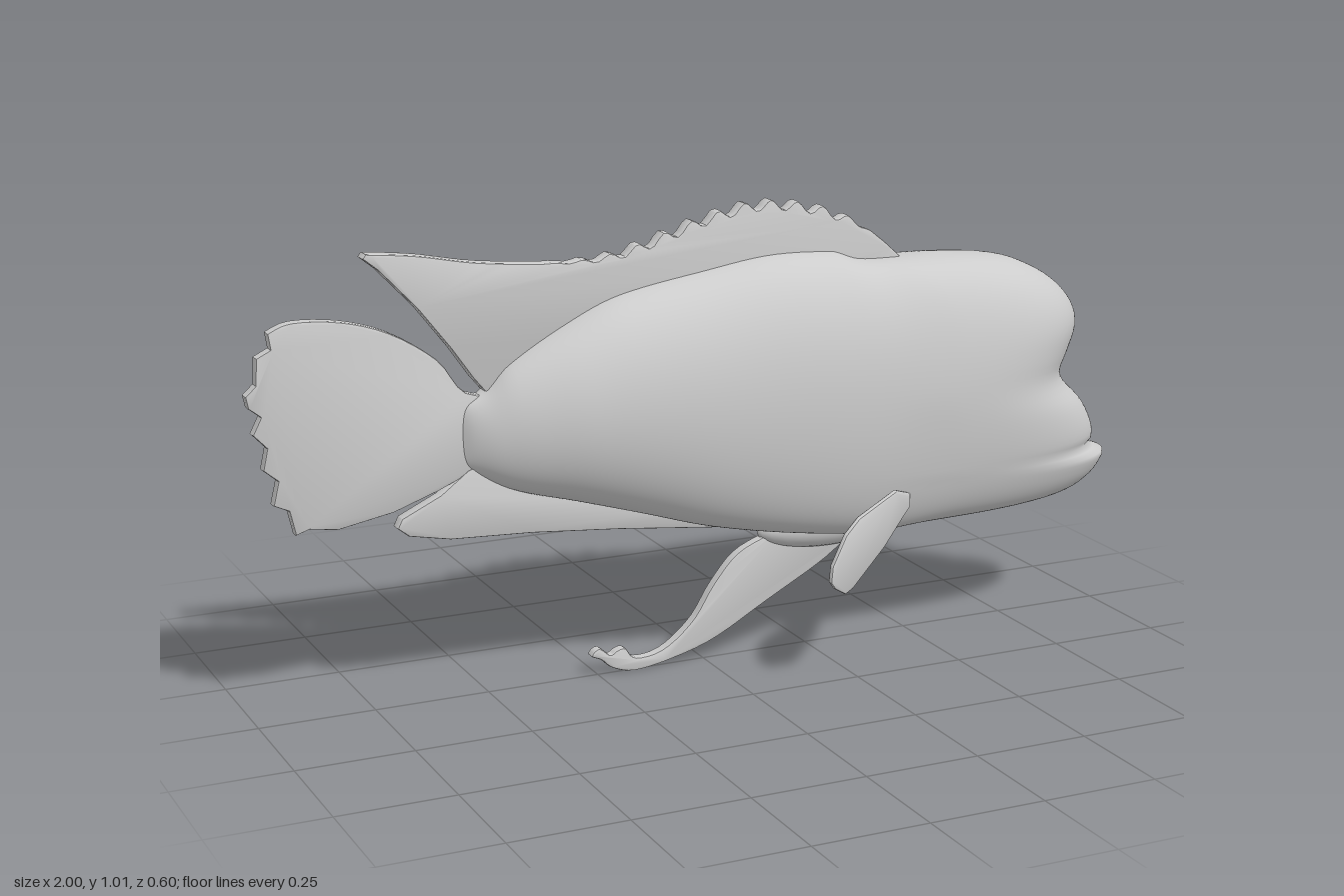
import * as THREE from 'three';
import { mergeVertices, toCreasedNormals } from 'three/addons/utils/BufferGeometryUtils.js';

const skin = new THREE.MeshStandardMaterial({ color: 0xcccccc });
skin.name = 'plain grey';

// Smooth interpolation through rows of [key, value]
function sample(table, k) {
  const n = table.length - 1;
  if (k <= table[0][0]) return table[0][1];
  if (k >= table[n][0]) return table[n][1];
  let i = 0;
  while (k > table[i + 1][0]) i++;
  const slope = (j) => {
    const a = table[Math.max(j - 1, 0)], b = table[Math.min(j + 1, n)];
    return (b[1] - a[1]) / (b[0] - a[0]);
  };
  const [x0, y0] = table[i], [x1, y1] = table[i + 1];
  const h = x1 - x0, t = (k - x0) / h, u = 1 - t;
  return y0 * (1 + 2 * t) * u * u + slope(i) * h * t * u * u
    + y1 * t * t * (3 - 2 * t) - slope(i + 1) * h * t * t * u;
}

// Body profiles along its length, and the face profile by height
const back = [[-0.56, 0.63], [-0.5, 0.66], [-0.45, 0.71], [-0.3, 0.795], [-0.2, 0.835], [0, 0.87],
  [0.15, 0.89], [0.3, 0.885], [0.45, 0.865], [0.6, 0.86], [1, 0.86]];
const belly = [[-0.56, 0.51], [-0.45, 0.445], [-0.3, 0.4], [-0.15, 0.355], [0, 0.31], [0.2, 0.272],
  [0.4, 0.252], [0.6, 0.262], [1, 0.265]];
const halfWidth = [[-0.56, 0], [-0.53, 0.035], [-0.48, 0.07], [-0.4, 0.105], [-0.3, 0.133], [-0.1, 0.15],
  [0.2, 0.16], [0.4, 0.162], [0.6, 0.172], [1, 0.168]];
const face = [[0.265, 0.74], [0.275, 0.84], [0.29, 0.92], [0.32, 0.972], [0.35, 0.996], [0.375, 1],
  [0.393, 0.955], [0.412, 0.968], [0.45, 0.96], [0.5, 0.93], [0.55, 0.88], [0.58, 0.87], [0.62, 0.888],
  [0.68, 0.91], [0.73, 0.897], [0.78, 0.85], [0.82, 0.78], [0.845, 0.7], [0.86, 0.56]];

function bodyGeometry() {
  const rings = 90, sides = 128, pos = [], index = [];
  for (let i = 0; i <= rings; i++) {
    const s = -0.56 + 1.56 * (1 - Math.cos(Math.PI * i / rings)) / 2;
    const top = sample(back, s), low = sample(belly, s);
    const mid = (top + low) / 2, h = (top - low) / 2;
    // the snout rounds off sideways
    const nose = Math.sqrt(Math.max(0, 1 - Math.pow(Math.max(0, (s - 0.6) / 0.4), 3)));
    const w = sample(halfWidth, s) * nose;
    const head = THREE.MathUtils.smoothstep(s, 0.25, 0.6);
    const upper = 0.95 - 0.2 * head;
    const lower = 0.9 - 0.4 * THREE.MathUtils.smoothstep(s, -0.4, 0.4);
    for (let j = 0; j < sides; j++) {
      const a = 2 * Math.PI * j / sides, c = Math.cos(a), sn = Math.sin(a);
      const y = mid + h * sn;
      const e = THREE.MathUtils.lerp(lower, upper, (sn + 1) / 2);
      const z = Math.abs(c) < 1e-6 ? 0 : w * Math.sign(c) * Math.pow(Math.abs(c), e);
      const x = s < 0.3 ? s : 0.3 + (s - 0.3) * (sample(face, y) - 0.3) / 0.7;
      pos.push(x, y, z);
      if (i < rings) {
        const p = i * sides + j, q = i * sides + (j + 1) % sides;
        index.push(p, p + sides, q, q, p + sides, q + sides);
      }
    }
  }
  let geo = new THREE.BufferGeometry();
  geo.setAttribute('position', new THREE.Float32BufferAttribute(pos, 3));
  geo.setIndex(index);
  geo = mergeVertices(geo, 1e-5);
  geo.computeVertexNormals();
  return geo;
}

// Thin fin from an outline, optionally swept sideways by a rule
function fin(name, points, thick, sweep) {
  const bevel = 0.005;
  const shape = new THREE.Shape(points.map(([x, y]) => new THREE.Vector2(x, y)));
  let geo = new THREE.ExtrudeGeometry(shape, {
    depth: thick - 2 * bevel, bevelEnabled: true, bevelThickness: bevel,
    bevelSize: bevel, bevelOffset: -bevel, bevelSegments: 2,
  });
  geo.translate(0, 0, bevel - thick / 2);
  if (sweep) {
    const p = geo.attributes.position;
    for (let i = 0; i < p.count; i++) p.setZ(i, p.getZ(i) + sweep(p.getX(i)));
  }
  geo.deleteAttribute('uv');
  geo = toCreasedNormals(geo, 0.7);
  const mesh = new THREE.Mesh(geo, skin);
  mesh.name = name;
  return mesh;
}

// Smooth open run of points
const smooth = (pts, n) => new THREE.SplineCurve(pts.map(([x, y]) => new THREE.Vector2(x, y)))
  .getPoints(n).map((p) => [p.x, p.y]);

export function createModel() {
  const fish = new THREE.Group();
  fish.name = 'fish';

  const body = new THREE.Mesh(bodyGeometry(), skin);
  body.name = 'body';
  fish.add(body);

  // Dorsal fin with a scalloped front crest
  const crest = smooth([[0.47, 0.855], [0.42, 0.9], [0.36, 0.94], [0.27, 0.975], [0.18, 0.993], [0.1, 0.995],
    [0, 0.975], [-0.1, 0.945], [-0.2, 0.918], [-0.32, 0.912], [-0.5, 0.927], [-0.64, 0.953], [-0.745, 0.965]], 110)
    .map(([x, y]) => {
      const fade = THREE.MathUtils.smoothstep(x, -0.4, -0.1) * (1 - THREE.MathUtils.smoothstep(x, 0.3, 0.42));
      return [x, y + 0.011 * fade * Math.cos(2 * Math.PI * (x - 0.09) / 0.062)];
    });
  fish.add(fin('dorsalFin', [...crest, [-0.752, 0.956], [-0.72, 0.93], [-0.64, 0.845], [-0.57, 0.755],
    [-0.525, 0.69], [-0.5, 0.66], [-0.45, 0.62], [-0.2, 0.75], [0.1, 0.8], [0.42, 0.8]], 0.036));

  // Tail fin with a ragged rear edge
  fish.add(fin('tailFin', [...smooth([[-0.45, 0.65], [-0.54, 0.66], [-0.6, 0.735], [-0.7, 0.8], [-0.8, 0.832],
    [-0.9, 0.84], [-0.95, 0.823]], 24), [-0.945, 0.79], [-0.975, 0.775], [-0.978, 0.72], [-1, 0.7], [-0.995, 0.675],
    [-0.97, 0.655], [-0.988, 0.62], [-0.96, 0.59], [-0.97, 0.545], [-0.94, 0.52], [-0.952, 0.47], [-0.92, 0.455],
    [-0.908, 0.402], [-0.88, 0.412], [-0.82, 0.403], [-0.7, 0.425], [-0.6, 0.46], [-0.52, 0.495], [-0.45, 0.53]], 0.028));

  // Anal fin below the rear body
  fish.add(fin('analFin', [[-0.695, 0.39], [-0.67, 0.37], [-0.58, 0.352], [-0.4, 0.343], [-0.2, 0.325], [0, 0.302],
    [0.12, 0.29], [0.05, 0.36], [-0.25, 0.46], [-0.48, 0.52], [-0.54, 0.495], [-0.6, 0.45], [-0.685, 0.41]], 0.032));

  // Trailing pelvic fin with a curled tip
  const pelvic = smooth([[0.2, 0.31], [0.17, 0.275], [0.08, 0.235], [0.02, 0.17], [-0.03, 0.095], [-0.1, 0.04],
    [-0.165, 0.03], [-0.19, 0.055], [-0.21, 0.052], [-0.225, 0.045], [-0.25, 0.063], [-0.268, 0.048],
    [-0.245, 0.036], [-0.22, 0.015], [-0.17, 0.001], [-0.09, 0.012], [0.02, 0.045], [0.15, 0.115], [0.28, 0.185],
    [0.36, 0.24], [0.4, 0.25], [0.412, 0.215], [0.43, 0.25], [0.44, 0.29]], 100);
  fish.add(fin('pelvicFin', pelvic, 0.026));

  // Keel where the pelvic fin joins the belly
  const keel = new THREE.Mesh(new THREE.SphereGeometry(1, 24, 16), skin);
  keel.name = 'bellyKeel';
  keel.scale.set(0.17, 0.05, 0.05);
  keel.position.set(0.3, 0.272, 0);
  fish.add(keel);

  // Paired pectoral fins, swept back and outward
  const paddle = [[0.43, 0.36], [0.43, 0.33], [0.405, 0.313], [0.34, 0.265], [0.23, 0.205], [0.205, 0.2], [0.17, 0.222],
    [0.155, 0.24], [0.16, 0.275], [0.205, 0.33], [0.25, 0.355], [0.38, 0.38]];
  for (const [name, side] of [['leftPectoralFin', -1], ['rightPectoralFin', 1]]) {
    fish.add(fin(name, paddle, 0.016, (x) => side * (0.15 + (0.41 - x) * 0.57)));
  }
  return fish;
}
